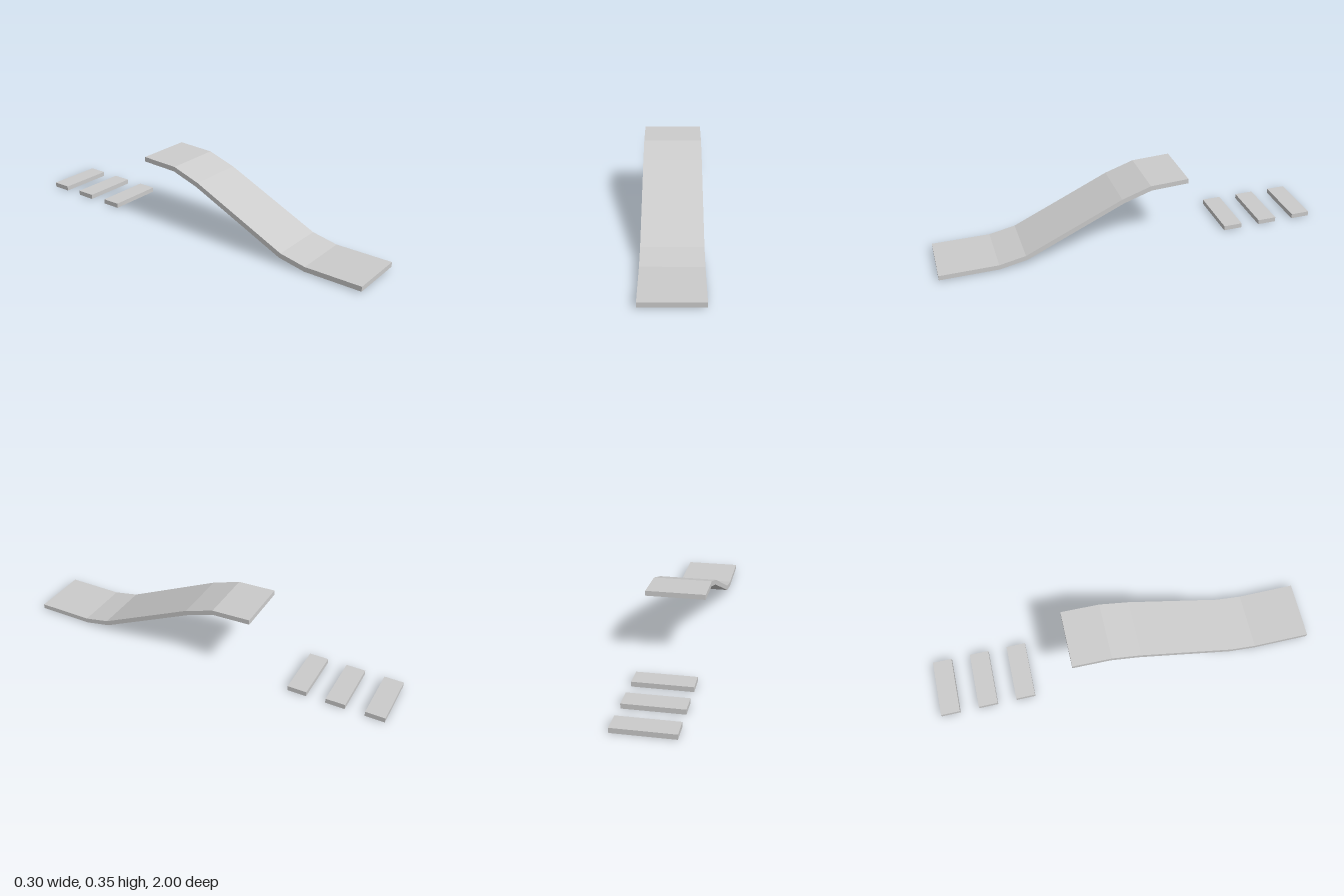
import * as THREE from 'three';

const WIDTH = 0.296;
const THICK = 0.025;

// Top edge of the ramp as [z, y], from the low front end to the high back end
const RAMP_TOP = [[1, 0.033], [0.705, 0.033], [0.57, 0.06], [0.07, 0.292], [-0.08, 0.342], [-0.28, 0.35]];

// Offsets the top edge downward by the slab thickness, mitred at each bend
function offsetBelow(points, thickness) {
  const p = points.map(([z, y]) => new THREE.Vector2(z, y));
  const normal = (a, b) => {
    const d = b.clone().sub(a).normalize();
    return new THREE.Vector2(d.y, -d.x).multiplyScalar(-1);
  };
  return p.map((pt, i) => {
    const n1 = normal(p[Math.max(i - 1, 0)], p[Math.max(i, 1)]);
    const n2 = normal(p[Math.min(i, p.length - 2)], p[Math.min(i + 1, p.length - 1)]);
    const m = n1.clone().add(n2).normalize();
    const down = m.y > 0 ? -1 : 1;
    return pt.clone().addScaledVector(m, down * thickness / m.dot(n1));
  });
}

export function createModel() {
  const group = new THREE.Group();
  group.name = 'rampWithSlats';
  const material = new THREE.MeshStandardMaterial({ color: 0xcccccc, flatShading: true });

  // Bent ramp: side profile extruded across the width
  const top = RAMP_TOP.map(([z, y]) => new THREE.Vector2(z, y));
  const shape = new THREE.Shape([...top, ...offsetBelow(RAMP_TOP, THICK).reverse()]);
  const rampGeometry = new THREE.ExtrudeGeometry(shape, { depth: WIDTH, bevelEnabled: false });
  rampGeometry.translate(0, 0, -WIDTH / 2);
  rampGeometry.rotateY(-Math.PI / 2);
  const ramp = new THREE.Mesh(rampGeometry, material);
  ramp.name = 'ramp';
  group.add(ramp);

  // Three flat slats on the ground behind the ramp
  const slatGeometry = new THREE.BoxGeometry(WIDTH, THICK, 0.1);
  for (let i = 0; i < 3; i++) {
    const slat = new THREE.Mesh(slatGeometry, material);
    slat.name = `slat${i + 1}`;
    slat.position.set(0, THICK / 2, -0.55 - i * 0.2);
    group.add(slat);
  }

  return group;
}
